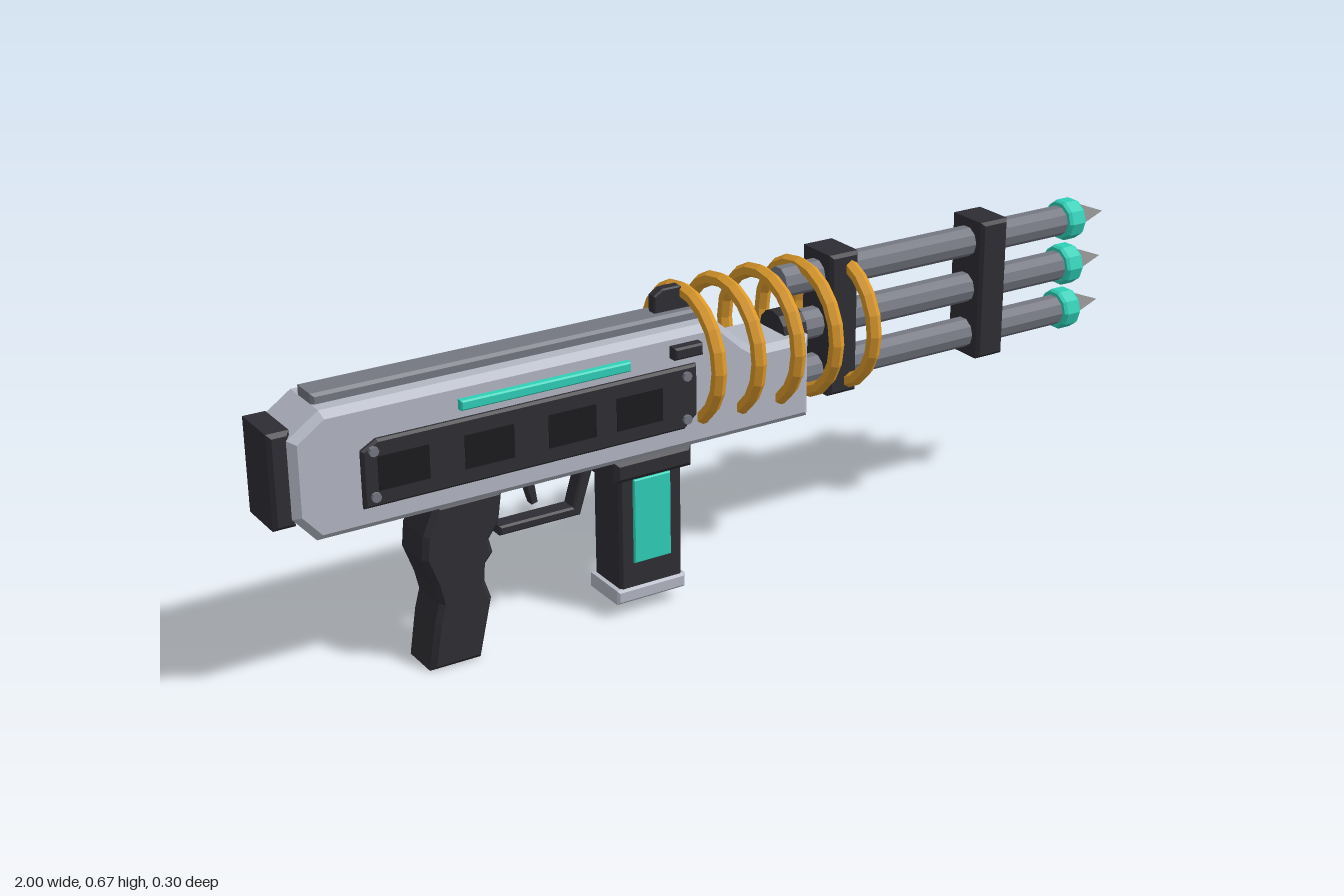
import * as THREE from 'three';

const mat = (color) => new THREE.MeshStandardMaterial({ color, flatShading: true });
const LIGHT = mat(0xb2b6c2), DARK = mat(0x2d2d33), BLACK = mat(0x1b1b1e), STEEL = mat(0x747681);
const TEAL = mat(0x2fd0b8), GOLD = mat(0xda982b);
const SPIKE = new THREE.MeshStandardMaterial({ color: 0xa0a0a0, side: THREE.DoubleSide });

export function createModel() {
  const model = new THREE.Group();

  const add = (name, geometry, material, x = 0, y = 0, z = 0) => {
    const mesh = new THREE.Mesh(geometry, material);
    mesh.name = name;
    mesh.position.set(x, y, z);
    model.add(mesh);
    return mesh;
  };
  // side outline extruded across the width, with chamfered edges
  const slab = (name, pts, halfWidth, bevel, material, z = 0) => {
    const shape = new THREE.Shape(pts.map(([x, y]) => new THREE.Vector2(x, y)));
    const geometry = new THREE.ExtrudeGeometry(shape, {
      depth: 2 * (halfWidth - bevel), bevelEnabled: bevel > 0, bevelThickness: bevel,
      bevelSize: bevel, bevelOffset: -bevel, bevelSegments: 1, curveSegments: 1,
    });
    geometry.translate(0, 0, bevel - halfWidth);
    return add(name, geometry, material, 0, 0, z);
  };
  // chamfered box given by its x and y limits
  const block = (name, x0, x1, y0, y1, halfWidth, bevel, material, z = 0) =>
    slab(name, [[x0, y0], [x1, y0], [x1, y1], [x0, y1]], halfWidth, bevel, material, z);
  // cylinder lying along x
  const rod = (name, x0, x1, y, radius, sides, material) => {
    const geometry = new THREE.CylinderGeometry(radius, radius, x1 - x0, sides).rotateZ(-Math.PI / 2);
    return add(name, geometry, material, (x0 + x1) / 2, y, 0);
  };

  // receiver
  slab('body', [[-0.92, 0.348], [0.167, 0.348], [0.167, 0.525], [0.035, 0.525], [0.005, 0.545], [-0.055, 0.6],
    [-0.9, 0.6], [-0.965, 0.555], [-0.965, 0.4]], 0.075, 0.014, LIGHT);
  block('buttPad', -1, -0.955, 0.382, 0.572, 0.06, 0.008, DARK);
  block('topRail', -0.9, -0.06, 0.59, 0.62, 0.033, 0.006, STEEL);
  slab('sight', [[-0.165, 0.61], [-0.06, 0.61], [-0.06, 0.628], [-0.105, 0.667], [-0.145, 0.667], [-0.165, 0.655]],
    0.012, 0.003, DARK);

  // side details, mirrored
  for (const s of [1, -1]) {
    slab('sidePanel', [[-0.832, 0.395], [-0.14, 0.395], [-0.112, 0.42], [-0.112, 0.528], [-0.8, 0.528], [-0.832, 0.51]],
      0.012, 0.005, DARK, s * 0.073);
    for (const x of [-0.75, -0.573, -0.395, -0.245])
      block('panelWindow', x - 0.052, x + 0.052, 0.427, 0.495, 0.008, 0, BLACK, s * 0.0785);
    for (const x of [-0.81, -0.138]) {
      for (const y of [0.417, 0.508]) {
        add('bolt', new THREE.CylinderGeometry(0.01, 0.01, 0.022, 8).rotateX(Math.PI / 2), STEEL, x, y, s * 0.081);
      }
    }
    block('lightStrip', -0.63, -0.265, 0.546, 0.566, 0.011, 0.003, TEAL, s * 0.079);
    block('sideCatch', -0.17, -0.105, 0.549, 0.574, 0.016, 0.004, DARK, s * 0.081);
    block('magazineWindow', -0.245, -0.16, 0.118, 0.3, 0.007, 0.002, TEAL, s * 0.052);
  }

  // grip with finger grooves
  slab('grip', [[-0.7, 0.003], [-0.59, 0.003], [-0.562, 0.125], [-0.575, 0.165], [-0.572, 0.2], [-0.555, 0.22],
    [-0.562, 0.25], [-0.54, 0.28], [-0.53, 0.35], [-0.672, 0.35], [-0.7, 0.29], [-0.705, 0.24],
    [-0.683, 0.18], [-0.674, 0.14], [-0.685, 0.1]], 0.052, 0.01, DARK);

  // trigger and its guard
  slab('triggerGuard', [[-0.525, 0.236], [-0.345, 0.236], [-0.308, 0.35], [-0.333, 0.35],
    [-0.362, 0.256], [-0.525, 0.256]], 0.02, 0.004, DARK);
  slab('trigger', [[-0.448, 0.28], [-0.435, 0.283], [-0.445, 0.35], [-0.463, 0.35], [-0.457, 0.31]], 0.011, 0.002, DARK);

  // magazine
  block('magazineCollar', -0.292, -0.112, 0.302, 0.35, 0.067, 0.01, DARK);
  block('magazine', -0.275, -0.13, 0.05, 0.32, 0.052, 0.006, DARK);
  block('magazineBase', -0.285, -0.125, 0.033, 0.064, 0.057, 0.005, LIGHT);

  // coil rings
  for (let i = 0; i < 5; i++)
    add('coilRing', new THREE.TorusGeometry(0.134, 0.0155, 6, 20).rotateY(Math.PI / 2), GOLD, -0.093 + i * 0.0935, 0.52, 0);

  // barrels, muzzle rings and flat tips
  rod('barrelCollar', 0.122, 0.178, 0.52, 0.046, 12, DARK);
  const ringProfile = [[0.029, -0.022], [0.041, -0.022], [0.045, -0.015], [0.045, 0.015], [0.041, 0.022], [0.029, 0.022],
    [0.029, -0.022]].map(([r, h]) => new THREE.Vector2(r, h));
  for (const y of [0.624, 0.521, 0.418]) {
    rod('barrel', 0.135, 0.88, y, 0.033, 10, STEEL);
    rod('barrelEnd', 0.875, 0.915, y, 0.029, 10, STEEL);
    add('muzzleRing', new THREE.LatheGeometry(ringProfile, 10).rotateZ(-Math.PI / 2), TEAL, 0.895, y, 0);
    const tip = new THREE.Shape([new THREE.Vector2(0, -0.034), new THREE.Vector2(0.085, 0), new THREE.Vector2(0, 0.034)]);
    add('tip', new THREE.ShapeGeometry(tip), SPIKE, 0.915, y, 0);
  }
  for (const x of [0.265, 0.655])
    block('barrelClamp', x - 0.035, x + 0.035, 0.37, 0.675, 0.052, 0.007, DARK);

  return model;
}
